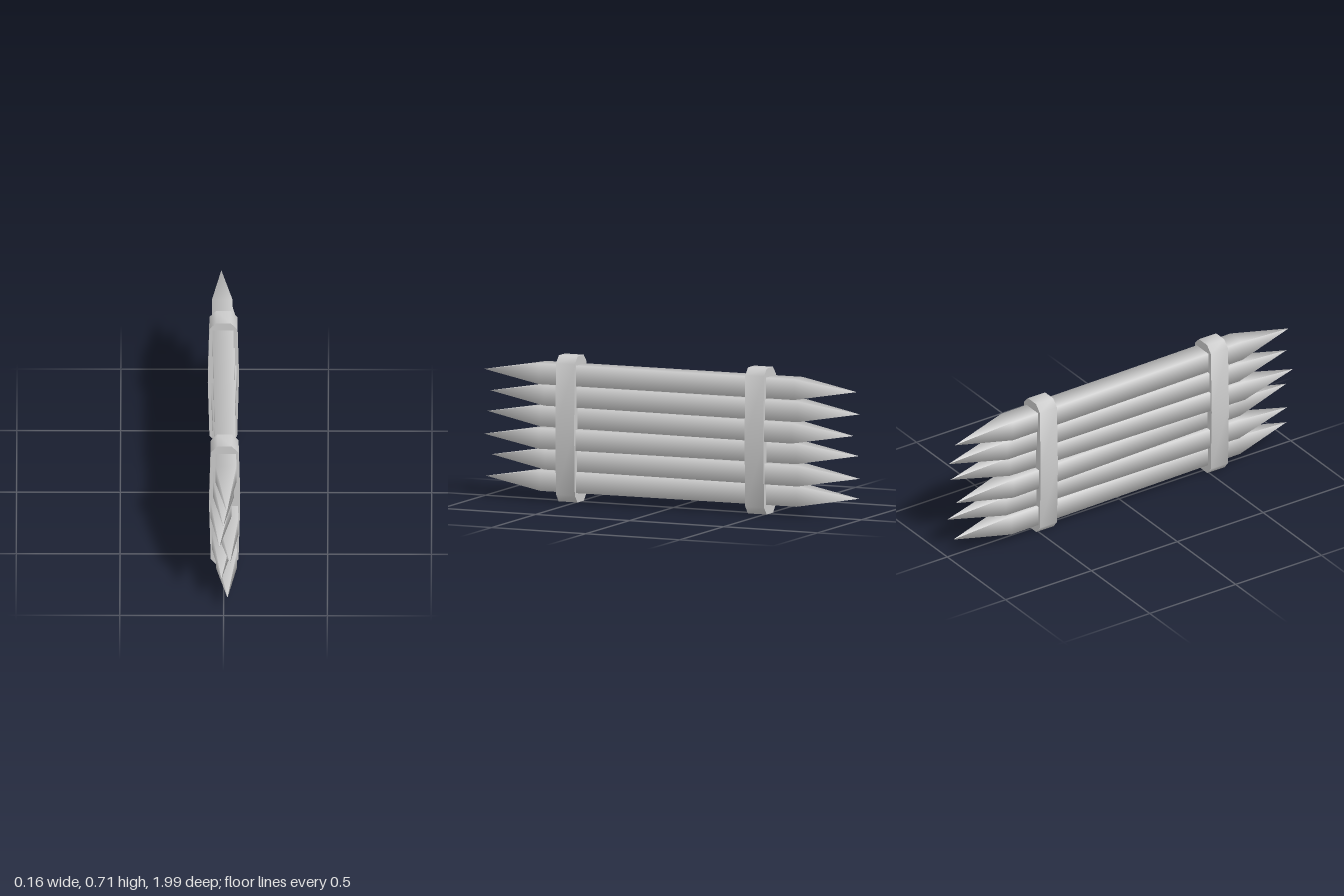
import * as THREE from 'three';
import { toCreasedNormals } from 'three/addons/utils/BufferGeometryUtils.js';

const SHOULDER = 0.675, TIP = 0.984, RADIUS = 0.05 * Math.SQRT2;

// Square log sharpened at both ends, lying along z
function makeLogGeometry() {
  const profile = [[0, -TIP], [RADIUS, -SHOULDER], [RADIUS, SHOULDER], [0, TIP]]
    .map(([r, y]) => new THREE.Vector2(r, y));
  return new THREE.LatheGeometry(profile, 4, Math.PI / 4).rotateX(Math.PI / 2);
}

// Upright band with chamfered ends and slightly bulging sides
function makeBandGeometry() {
  const right = [[0.037, 0], [0.067, 0.037], [0.075, 0.355], [0.067, 0.675], [0.035, 0.71]];
  const left = right.map(([x, y]) => [-x, y]).reverse();
  const outline = new THREE.Shape([...right, ...left].map(([x, y]) => new THREE.Vector2(x, y)));
  const band = new THREE.ExtrudeGeometry(outline, { depth: 0.1, bevelEnabled: false });
  return toCreasedNormals(band.translate(0, 0, -0.05), 1.1);
}

export function createModel() {
  const model = new THREE.Group();
  model.name = 'stakeBarrier';
  const material = new THREE.MeshStandardMaterial({ color: 0xcccccc });

  // Stacked logs: height, sideways drift at the front shoulder, shift along z
  const logGeometry = makeLogGeometry();
  const logs = [
    [0.098, 0.013, 0.005],
    [0.200, -0.007, -0.011],
    [0.304, 0.021, 0.011],
    [0.408, -0.014, 0.016],
    [0.512, -0.001, -0.009],
    [0.617, 0.011, 0.016],
  ];
  logs.forEach(([y, drift, z], i) => {
    const log = new THREE.Mesh(logGeometry, material);
    log.name = `sharpenedLog${i + 1}`;
    log.position.set(0, y, z);
    log.rotation.y = Math.atan(drift / SHOULDER);
    model.add(log);
  });

  // Bands holding the logs together
  const bandGeometry = makeBandGeometry();
  for (const [name, x, z] of [['frontBand', 0.004, 0.542], ['backBand', -0.005, -0.46]]) {
    const band = new THREE.Mesh(bandGeometry, material);
    band.name = name;
    band.position.set(x, 0, z);
    model.add(band);
  }
  return model;
}
